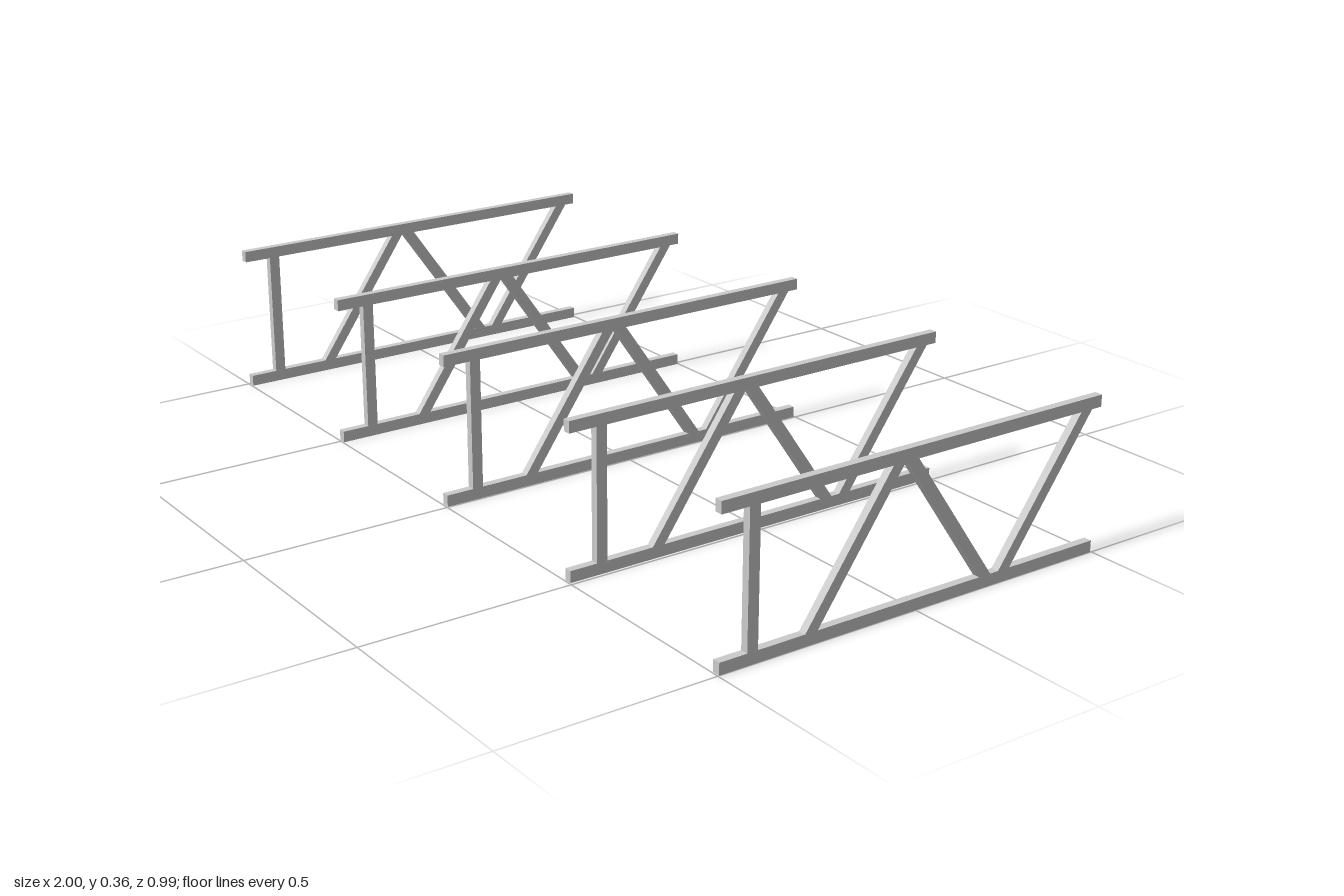
import * as THREE from 'three';

const WIDTH = 0.019;    // timber thickness across x
const LENGTH = 0.994;   // chord length along z
const HEIGHT = 0.358;   // overall truss height
const CHORD = 0.027;    // chord depth

const material = new THREE.MeshStandardMaterial({ color: 0xcccccc, flatShading: true });

// Web member cut level at both chords; z positions are the centres of its ends
function webGeometry(zBottom, zTop, cutLength) {
  const h = cutLength / 2, y0 = CHORD, y1 = HEIGHT - CHORD;
  const shape = new THREE.Shape([
    new THREE.Vector2(zBottom - h, y0),
    new THREE.Vector2(zBottom + h, y0),
    new THREE.Vector2(zTop + h, y1),
    new THREE.Vector2(zTop - h, y1),
  ]);
  const geometry = new THREE.ExtrudeGeometry(shape, { depth: WIDTH, bevelEnabled: false });
  geometry.translate(0, 0, -WIDTH / 2);
  return geometry.rotateY(-Math.PI / 2);
}

const chordGeometry = new THREE.BoxGeometry(WIDTH, CHORD, LENGTH);

// name, bottom z, top z, length of the level cut
const webs = [
  ['frontPost', 0.417, 0.417, 0.026],
  ['frontDiagonal', 0.272, 0.06, 0.031],
  ['middleDiagonal', -0.188, 0.025, 0.031],
  ['backDiagonal', -0.241, -0.455, 0.031],
].map(([name, zBottom, zTop, cut]) => ({ name, geometry: webGeometry(zBottom, zTop, cut) }));

function createTruss() {
  const truss = new THREE.Group();
  const add = (name, geometry, y = 0) => {
    const mesh = new THREE.Mesh(geometry, material);
    mesh.name = name;
    mesh.position.y = y;
    truss.add(mesh);
  };
  add('bottomChord', chordGeometry, CHORD / 2);
  add('topChord', chordGeometry, HEIGHT - CHORD / 2);
  for (const { name, geometry } of webs) add(name, geometry);
  return truss;
}

export function createModel() {
  const model = new THREE.Group();
  model.name = 'floorTrusses';
  // Row of five trusses, spaced slightly unevenly
  [-0.99, -0.499, -0.012, 0.483, 0.99].forEach((x, i) => {
    const truss = createTruss();
    truss.name = `truss${i + 1}`;
    truss.position.x = x;
    model.add(truss);
  });
  return model;
}
